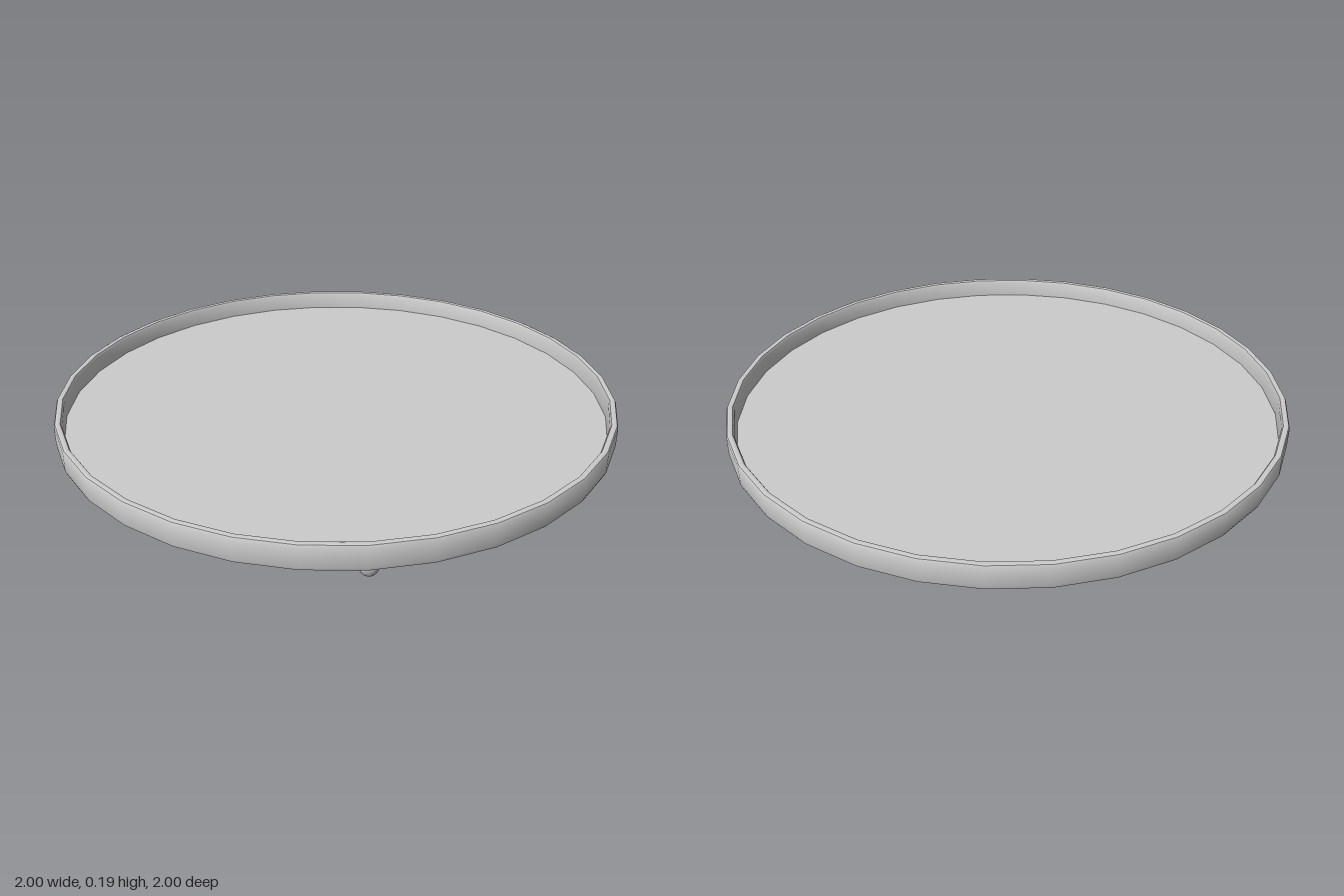
import * as THREE from 'three';
import { toCreasedNormals } from 'three/addons/utils/BufferGeometryUtils.js';

export function createModel() {
  const model = new THREE.Group();
  const material = new THREE.MeshStandardMaterial({ color: 0xcccccc });

  // Shallow round tray: underside, softened outer wall, narrow rim, inner wall, floor
  const profile = [
    [0, 0.097], [0.985, 0.097], [0.996, 0.102], [1, 0.112],
    [1, 0.178], [0.996, 0.187], [0.988, 0.19], [0.978, 0.187],
    [0.973, 0.178], [0.971, 0.12], [0, 0.12],
  ].map(([r, y]) => new THREE.Vector2(r, y));
  const trayGeometry = toCreasedNormals(new THREE.LatheGeometry(profile, 32), 0.7);
  const tray = new THREE.Mesh(trayGeometry, material);
  tray.name = 'tray';
  model.add(tray);

  // Four egg-shaped feet, set slightly unevenly
  const footGeometry = new THREE.SphereGeometry(1, 24, 16);
  const feet = {
    frontLeftFoot: [0.633, 0.612],
    frontRightFoot: [-0.628, 0.612],
    backLeftFoot: [0.716, -0.49],
    backRightFoot: [-0.628, -0.572],
  };
  for (const [name, [x, z]] of Object.entries(feet)) {
    const foot = new THREE.Mesh(footGeometry, material);
    foot.name = name;
    foot.scale.set(0.036, 0.052, 0.036);
    foot.position.set(x, 0.052, z);
    model.add(foot);
  }
  return model;
}
